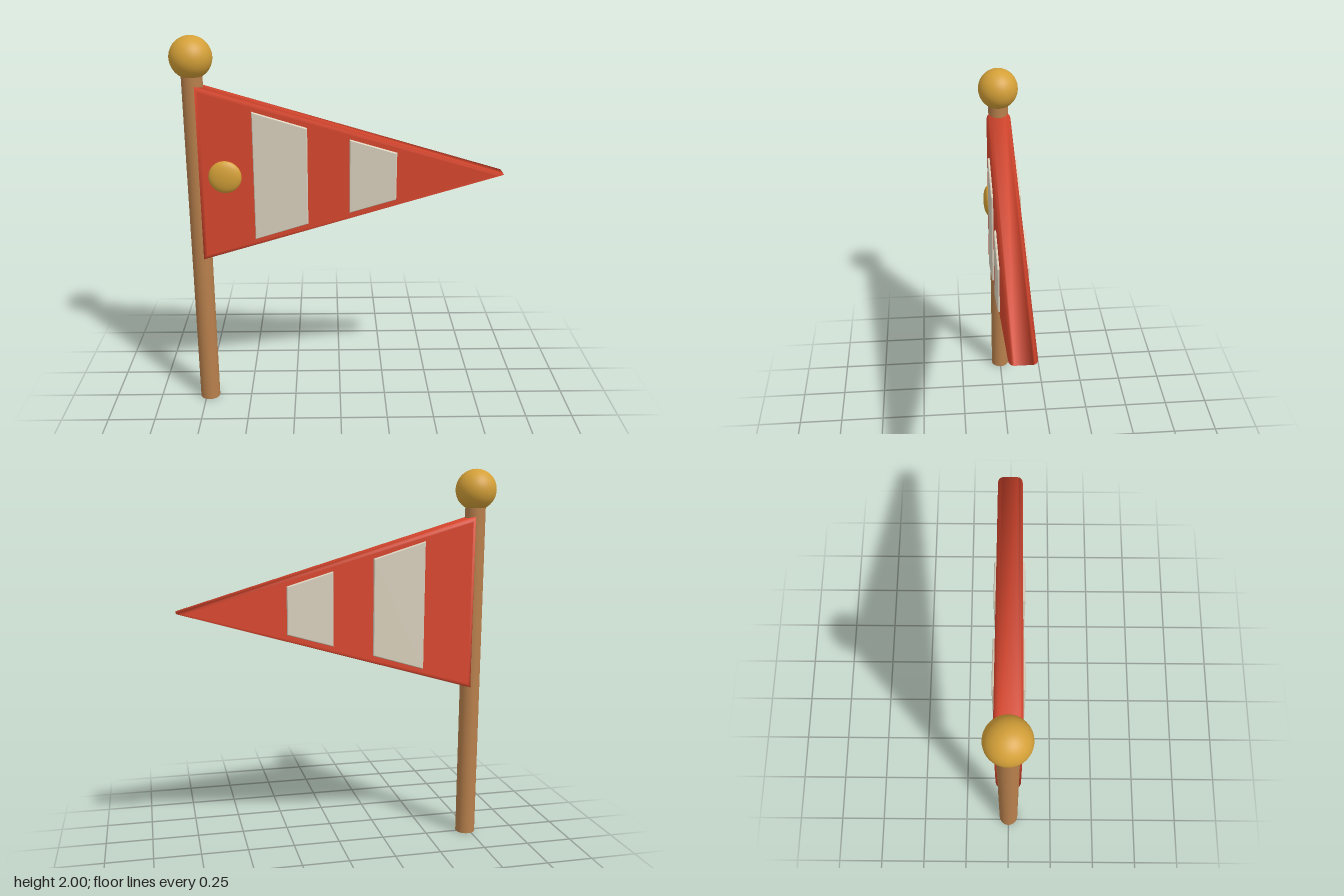
import * as THREE from 'three';
import { mergeVertices } from 'three/addons/utils/BufferGeometryUtils.js';

function material(name, color) {
  const m = new THREE.MeshStandardMaterial({ color });
  m.name = name;
  return m;
}

// Bevelled slab centred on z = 0, from a list of corner points
function slab(points, thickness, bevel, bevelDepth) {
  const depth = thickness - 2 * bevelDepth;
  const shape = new THREE.Shape(points.map(([x, y]) => new THREE.Vector2(x, y)));
  return new THREE.ExtrudeGeometry(shape, {
    depth, bevelSize: bevel, bevelThickness: bevelDepth, bevelSegments: 4,
  }).translate(0, 0, -depth / 2);
}

// Copies one material group of a slab: 0 = flat faces, 1 = rim
function groupOf(geometry, index) {
  const { start, count } = geometry.groups[index];
  const part = new THREE.BufferGeometry();
  const array = geometry.attributes.position.array.slice(start * 3, (start + count) * 3);
  part.setAttribute('position', new THREE.BufferAttribute(array, 3));
  return part;
}

export function createModel() {
  const group = new THREE.Group();
  const wood = material('wood', 0xb8804c);
  const gold = material('gold', 0xd4a038);
  const red = material('red cloth', 0xd8472e);
  const cream = material('cream cloth', 0xd9d0bc);
  const poleX = -0.73;
  const flagY = 1.302;

  function add(name, geometry, mat, x = 0, y = 0, z = 0) {
    const mesh = new THREE.Mesh(geometry, mat);
    mesh.name = name;
    mesh.position.set(x, y, z);
    group.add(mesh);
    return mesh;
  }

  // Pole and ball on top
  add('pole', new THREE.CylinderGeometry(0.053, 0.053, 1.84, 32), wood, poleX, 0.92);
  add('finial', new THREE.SphereGeometry(0.106, 40, 28), gold, poleX, 1.894);

  // Pennant: flat faces with a smoothly rounded rim
  const pennant = slab([[-0.696, -0.43], [0.798, 0], [-0.696, 0.43]], 0.13, 0.025, 0.025);
  const faces = groupOf(pennant, 0);
  faces.computeVertexNormals();
  const rim = mergeVertices(groupOf(pennant, 1));
  rim.computeVertexNormals();
  add('pennantFaces', faces, red, 0, flagY);
  add('pennantRim', rim, red, 0, flagY);

  // Tapered stripes, set through the pennant and slightly raised on both sides
  const stripes = [
    [-0.434, -0.171, 0.329, 0.248],
    [0.051, 0.279, 0.187, 0.119],
  ];
  stripes.forEach(([x0, x1, h0, h1], i) => {
    const corners = [[x0, -h0], [x1, -h1], [x1, h1], [x0, h0]];
    add(`stripe${i + 1}`, slab(corners, 0.152, 0.006, 0.008), cream, 0, flagY);
  });

  // Domed stud on the front
  const stud = add('stud', new THREE.SphereGeometry(0.084, 40, 24), gold, -0.583, flagY, 0.065);
  stud.scale.z = 0.36;

  return group;
}
